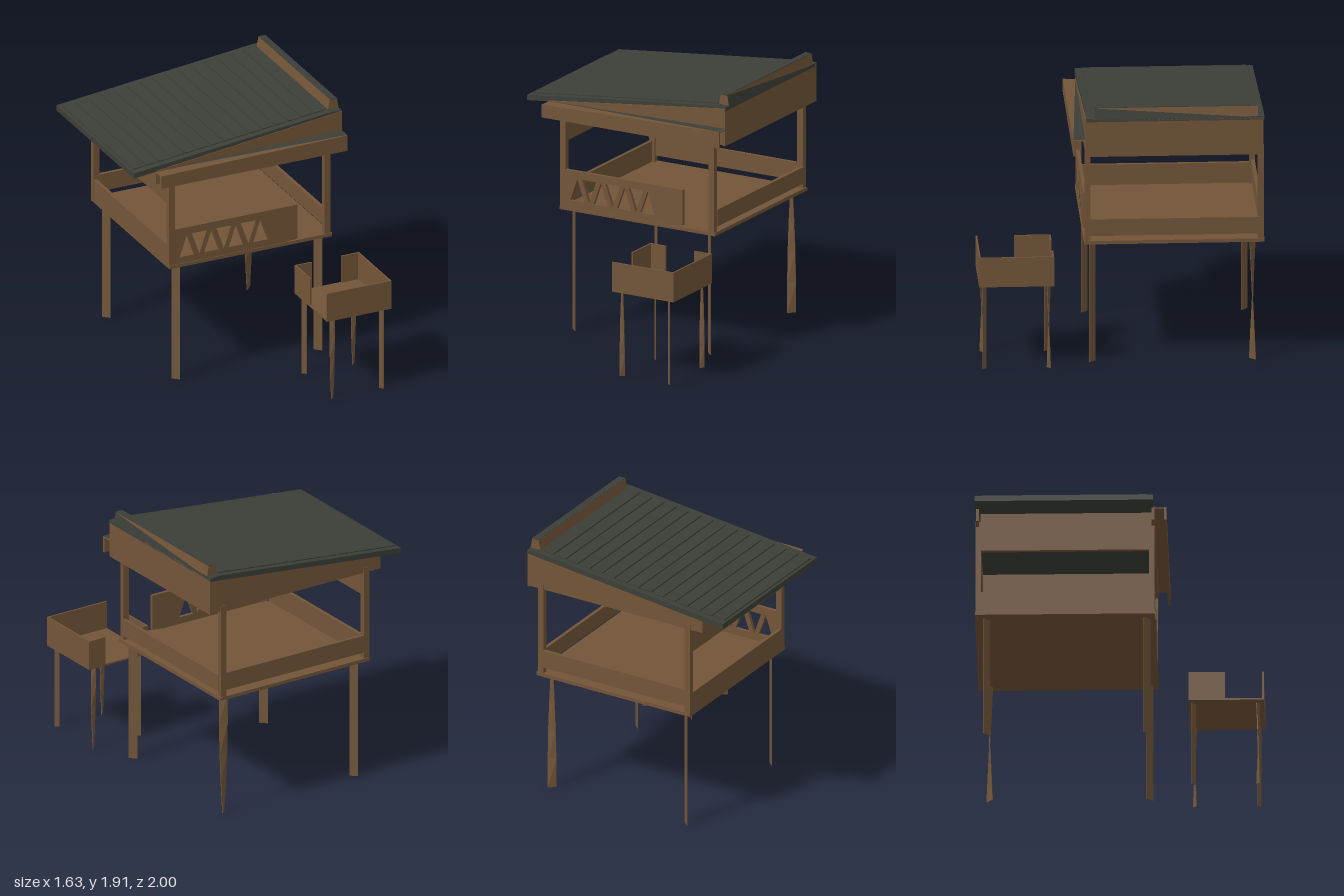
import * as THREE from 'three';

export function createModel() {
  const model = new THREE.Group();
  const mat = (name, color) => Object.assign(
    new THREE.MeshStandardMaterial({ color, flatShading: true, side: THREE.DoubleSide }), { name });
  const wood = mat('brown timber', 0x735538);
  const legWood = mat('leg timber', 0x73573a);
  const roofing = mat('dark roofing', 0x3c3f38);

  const add = (name, geo, material = wood) => {
    const m = new THREE.Mesh(geo, material);
    m.name = name;
    model.add(m);
    return m;
  };
  // box given by its limits on each axis
  const box = (name, x0, x1, y0, y1, z0, z1, material) =>
    add(name, new THREE.BoxGeometry(x1 - x0, y1 - y0, z1 - z0), material)
      .position.set((x0 + x1) / 2, (y0 + y1) / 2, (z0 + z1) / 2);
  const outline = (Kind, pts) => new Kind(pts.map(p => new THREE.Vector2(...p)));
  // front-view outline carried from z0 to z1
  const prism = (name, pts, z0, z1, material, holes = []) => {
    const s = outline(THREE.Shape, pts);
    s.holes = holes.map(h => outline(THREE.Path, h));
    const g = new THREE.ExtrudeGeometry(s, { depth: z1 - z0, bevelEnabled: false });
    return add(name, g.translate(0, 0, z0), material);
  };
  // thin diagonal plate leg; twist turns its foot by a quarter turn
  const leg = (name, x, z, w, h, twist) => {
    const g = new THREE.BoxGeometry(w * 1.38, h, 0.005, 1, 4, 1);
    const p = g.attributes.position;
    for (let i = 0; i < p.count; i++) {
      const t = 0.5 - p.getY(i) / h;
      const a = -Math.PI / 4 + (twist ? t * Math.PI / 2 : 0);
      const px = p.getX(i), pz = p.getZ(i);
      p.setX(i, px * Math.cos(a) + pz * Math.sin(a));
      p.setZ(i, -px * Math.sin(a) + pz * Math.cos(a));
    }
    g.computeVertexNormals();
    add(name, g, legWood).position.set(x, h / 2, z);
  };

  // platform and its legs
  box('platform', -0.55, 0.71, 0.885, 0.91, -1, 0.26);
  for (const x of [-0.47, 0.63])
    for (const z of [-0.92, 0.2])
      leg('platformLeg', x, z, 0.045, 0.888, x > 0 && z < 0);

  // corner posts
  for (const x of [-0.528, 0.678])
    for (const z of [-0.975, 0.235])
      box('cornerPost', x - 0.023, x + 0.023, 0.91, 1.6, z - 0.02, z + 0.02);

  // low rails
  box('rightRail', 0.68, 0.705, 0.945, 1.067, -0.97, 0.215);
  box('leftRail', -0.55, -0.525, 0.91, 1.06, -0.97, 0.215);
  box('backRail', -0.525, 0.68, 0.955, 1.085, -0.995, -0.97);

  // front panel with a zigzag lattice cut through it
  const holes = [];
  for (let i = 0; i < 7; i++) {
    const x = -0.41 + i * 0.095, up = i % 2 === 0;
    const base = up ? 0.96 : 1.125, tip = up ? 1.125 : 0.96;
    holes.push([[x - 0.058, base], [x + 0.058, base], [x, tip]]);
  }
  prism('frontPanel', [[-0.53, 0.905], [0.3, 0.905], [0.445, 0.92], [0.445, 1.18], [-0.53, 1.18]],
    0.23, 0.255, wood, holes);

  // beams under the roof
  box('leftBeam', -0.55, -0.52, 1.378, 1.66, -0.96, 0.25);
  const gable = [[-0.65, 1.56], [0.79, 1.56], [0.79, 1.83], [-0.65, 1.66]];
  prism('frontGable', gable, 0.235, 0.255);
  prism('backGable', gable, -0.99, -0.97);
  box('rightFascia', 0.77, 0.79, 1.555, 1.825, -0.99, 0.255);

  // projecting front board with its sloping ledge
  prism('frontBoard', [[-0.65, 1.56], [0.79, 1.56], [0.79, 1.68], [-0.65, 1.655]], 0.322, 0.34);
  prism('boardLedge', [[-0.65, 1.645], [0.79, 1.67], [0.79, 1.678], [-0.65, 1.653]], 0.25, 0.33);
  const flash = outline(THREE.Shape, [[-0.6, -0.255], [0.79, -0.255], [0.79, -0.34]]);
  const flashGeo = new THREE.ShapeGeometry(flash).rotateX(-Math.PI / 2);
  const fp = flashGeo.attributes.position;
  for (let i = 0; i < fp.count; i++) fp.setY(i, 1.683 + (fp.getX(i) - 0.79) * 0.0174);
  flashGeo.computeVertexNormals();
  add('ledgeFlashing', flashGeo, roofing);

  // sloping roof sheet with overlapping strips
  prism('roofSheet', [[-0.82, 1.635], [0.79, 1.81], [0.79, 1.835], [0.71, 1.838], [-0.82, 1.675]],
    -0.995, 0.25, roofing);
  for (let i = 0; i < 15; i++) {
    const x = -0.8 + i * 0.1, y = 1.676 + i * 0.0107;
    prism('roofStrip', [[x, y], [x + 0.094, y + 0.009], [x + 0.094, y + 0.016], [x, y + 0.01]],
      -0.95, 0.2, roofing);
  }

  // ridge cap along the high edge
  prism('ridgeCap', [[0.705, 1.825], [0.79, 1.825], [0.775, 1.908], [0.722, 1.908]], -0.95, 0.2);
  box('ridgeFlashing', 0.724, 0.775, 1.907, 1.912, -0.95, 0.2, roofing);
  const side = new THREE.BufferGeometry();
  side.setAttribute('position', new THREE.Float32BufferAttribute(
    [0.792, 1.828, 0.2, 0.792, 1.828, -0.95, 0.778, 1.908, 0.2], 3));
  side.computeVertexNormals();
  add('ridgeSideFlashing', side, roofing);

  // small open step box in front
  const T = 0.012;
  box('stepFloor', 0.315, 0.815, 0.617, 0.63, 0.475, 1);
  box('stepFrontWall', 0.315, 0.815, 0.617, 0.833, 1 - T, 1);
  box('stepRightWall', 0.815 - T, 0.815, 0.617, 0.833, 0.475, 1);
  box('stepLeftWall', 0.315, 0.315 + T, 0.617, 0.833, 0.475, 0.73);
  box('stepBackWall', 0.315, 0.445, 0.617, 0.833, 0.475, 0.475 + T);
  box('stepBackWall', 0.675, 0.815, 0.617, 0.833, 0.475, 0.475 + T);
  for (const x of [0.375, 0.755])
    for (const z of [0.51, 0.96])
      leg('stepLeg', x, z, 0.026, 0.62, (x > 0.5) === (z < 0.7));

  return model;
}
